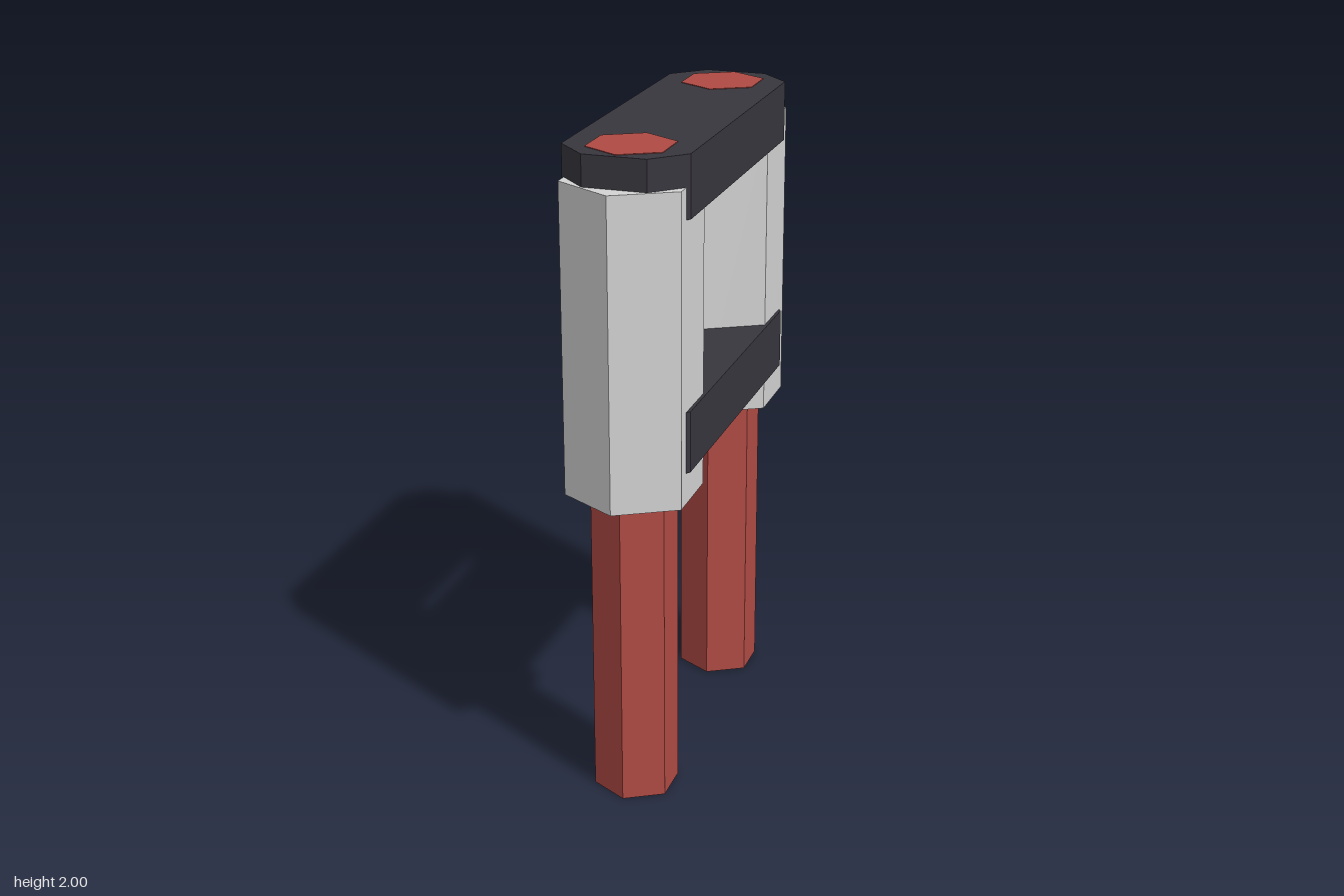
import * as THREE from 'three';

const mat = (name, color) => {
  const m = new THREE.MeshStandardMaterial({ color, flatShading: true });
  m.name = name;
  return m;
};

export function createModel() {
  const model = new THREE.Group();
  model.name = 'twinPostFrame';
  const red = mat('red', 0xb04a44);
  const grey = mat('light grey', 0xd4d4d4);
  const dark = mat('dark grey', 0x38363e);

  // Upright hexagonal prism with corners facing front and back
  const hexPrism = (name, radius, bottom, top, z, material) => {
    const geo = new THREE.CylinderGeometry(radius, radius, top - bottom, 6);
    const mesh = new THREE.Mesh(geo, material);
    mesh.name = name;
    mesh.position.set(0, (bottom + top) / 2, z);
    model.add(mesh);
  };

  // Red pins run the full height inside the grey sleeves
  for (const [side, z] of [['front', 0.421], ['back', -0.421]]) {
    hexPrism(side + 'Pin', 0.13, 0, 2, z, red);
    hexPrism(side + 'Sleeve', 0.205, 0.972, 1.906, z, grey);
  }

  // Horizontal link plates with chamfered corners
  const w = 0.187, l = 0.564, cx = 0.094, cz = 0.47;
  const outline = new THREE.Shape([
    [w, -cz], [w, cz], [cx, l], [-cx, l], [-w, cz], [-w, -cz], [-cx, -l], [cx, -l],
  ].map(([x, y]) => new THREE.Vector2(x, y)));
  for (const [name, bottom, top] of [['topLink', 1.815, 1.998], ['lowerLink', 1.068, 1.254]]) {
    const geo = new THREE.ExtrudeGeometry(outline, { depth: top - bottom, bevelEnabled: false });
    geo.rotateX(-Math.PI / 2);
    const link = new THREE.Mesh(geo, dark);
    link.name = name;
    link.position.y = bottom;
    model.add(link);
  }
  return model;
}
